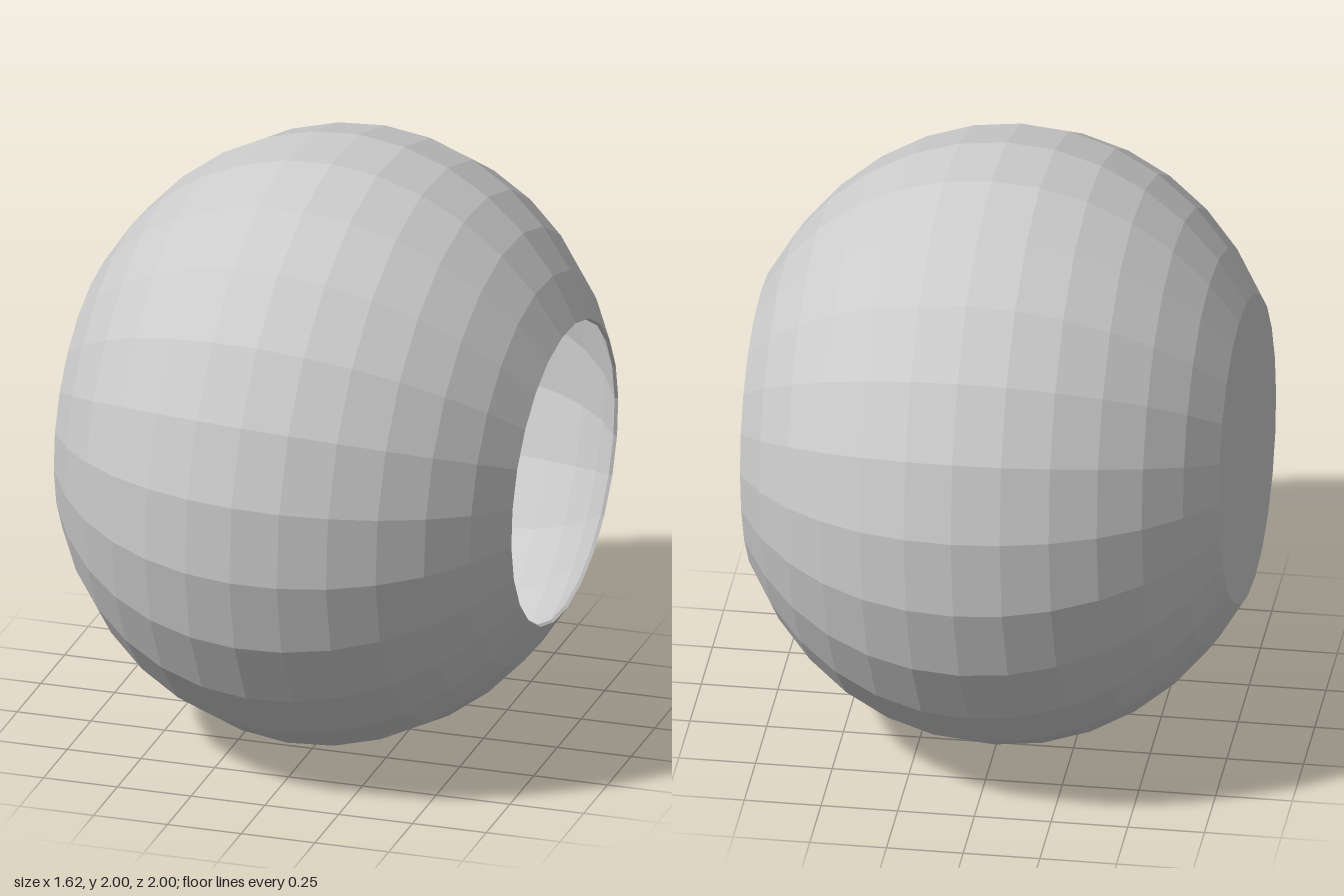
import * as THREE from 'three';

const SIDES = 24, RADIUS = 1.0086, HALF_LENGTH = 0.907, WALL = 0.012;

const material = (extra = {}) => new THREE.MeshStandardMaterial({ color: 0xcccccc, ...extra });

// Points of an elliptical arc from one latitude to another, in 10 degree steps
function arc(from, to, inset) {
  const points = [];
  const step = Math.sign(to - from) * 10;
  for (let lat = from; lat !== to + step; lat += step) {
    const a = THREE.MathUtils.degToRad(lat);
    points.push(new THREE.Vector2((RADIUS - inset) * Math.cos(a), (HALF_LENGTH - inset) * Math.sin(a)));
  }
  return points;
}

// Small fish: pointed body and flared tail chained along +y from the nose
function createFish(name, nose, tail) {
  const fish = new THREE.Group();
  fish.name = name;
  const stations = [[0, 0], [0.17, 0.047], [0.39, 0.003], [0.585, 0.047]];
  ['head', 'body', 'tail'].forEach((part, i) => {
    const [y0, r0] = stations[i], [y1, r1] = stations[i + 1];
    const geometry = new THREE.CylinderGeometry(r1, r0, y1 - y0, 10, 1, part !== 'tail');
    geometry.translate(0, (y0 + y1) / 2, 0);
    const mesh = new THREE.Mesh(geometry, material());
    mesh.name = part;
    fish.add(mesh);
  });
  const direction = tail.clone().sub(nose).normalize();
  fish.quaternion.setFromUnitVectors(new THREE.Vector3(0, 1, 0), direction);
  fish.position.copy(nose);
  return fish;
}

export function createModel() {
  const model = new THREE.Group();
  model.name = 'fishBowl';

  // Bowl lies on its side with a slight tilt, mouth towards +x
  const bowl = new THREE.Group();
  bowl.name = 'bowl';
  bowl.position.y = 1;
  bowl.quaternion.setFromUnitVectors(
    new THREE.Vector3(1, 0, 0),
    new THREE.Vector3(0.78, -0.023, 0.029).normalize()
  );
  model.add(bowl);

  // Thin double wall: flat base, outer side, rim, inner side, inner base
  const outer = arc(-60, 60, 0), inner = arc(60, -60, WALL);
  const profile = [
    new THREE.Vector2(0, outer[0].y), ...outer,
    ...inner, new THREE.Vector2(0, inner[inner.length - 1].y),
  ];
  const shellGeometry = new THREE.LatheGeometry(profile, SIDES, Math.PI / SIDES);
  shellGeometry.rotateZ(-Math.PI / 2);
  const shell = new THREE.Mesh(shellGeometry, material({ flatShading: true }));
  shell.name = 'shell';
  bowl.add(shell);

  // Flat water surface deep inside the bowl
  const level = inner[9];
  const waterGeometry = new THREE.CircleGeometry(level.x, SIDES, Math.PI / SIDES);
  waterGeometry.rotateY(Math.PI / 2);
  const water = new THREE.Mesh(waterGeometry, material({ side: THREE.DoubleSide }));
  water.name = 'waterSurface';
  water.position.x = level.y;
  bowl.add(water);

  // Two fish just above the water
  const x = -0.38;
  model.add(
    createFish('upperFish', new THREE.Vector3(x, 0.95, -0.27), new THREE.Vector3(x, 1.44, 0.03)),
    createFish('lowerFish', new THREE.Vector3(x, 1.01, -0.03), new THREE.Vector3(x, 0.92, 0.55))
  );
  return model;
}
